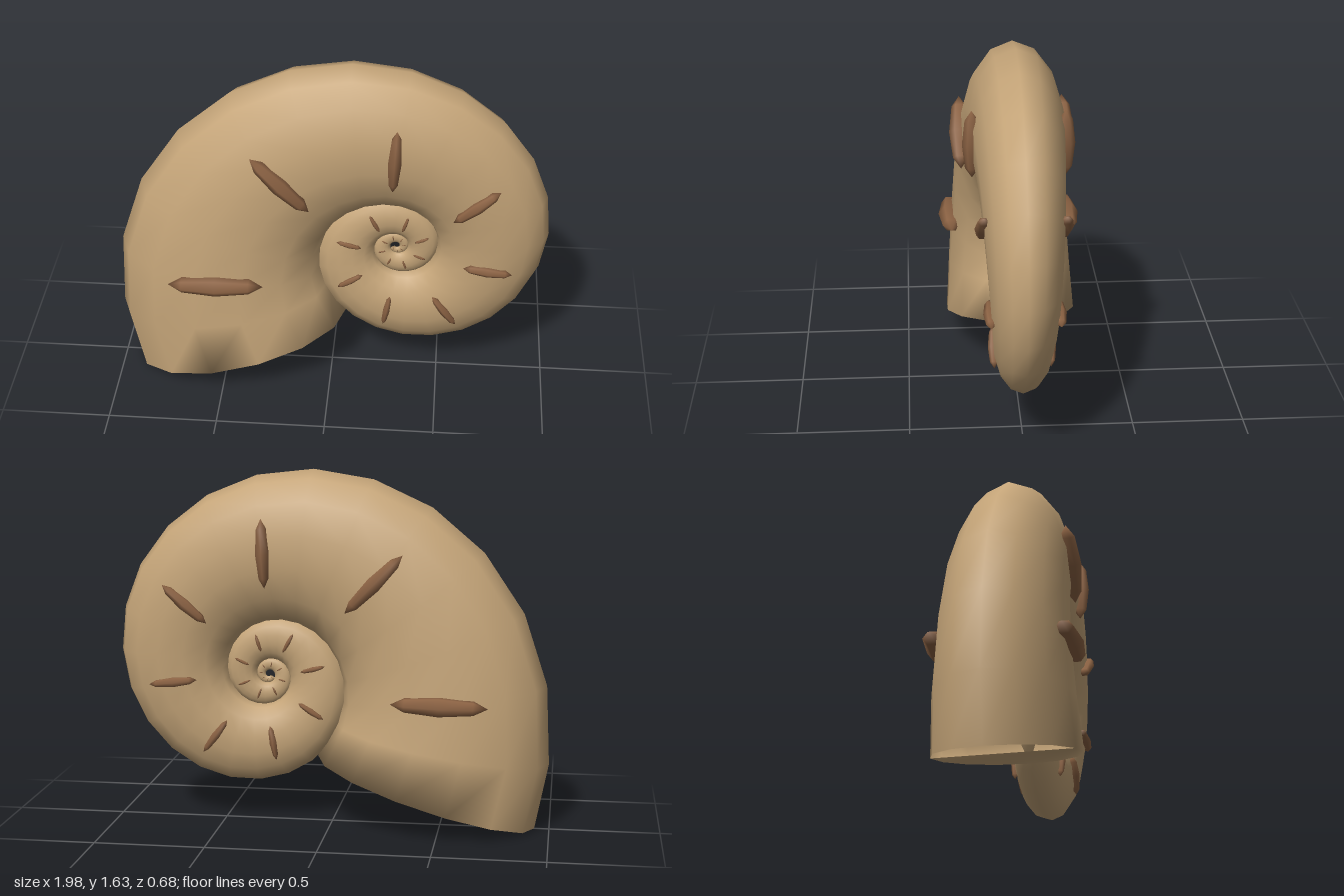
import * as THREE from 'three';

const SEGMENTS = 69;            // rings along three whorls
const SIDES = 14;               // sides of the tube
const STEP = (6 * Math.PI) / SEGMENTS;
const END_ANGLE = THREE.MathUtils.degToRad(216.2);
const END_RADIUS = 0.902, GROWTH = 0.2;
const TUBE = 0.58, FLATNESS = 0.6;
const CENTRE = new THREE.Vector3(0.295, 0.688, 0);

const angleAt = (i) => END_ANGLE - (SEGMENTS - i) * STEP;
const radiusAt = (i) => END_RADIUS * Math.exp(-GROWTH * (SEGMENTS - i) * STEP);
const radialAt = (i, tilt = 0) =>
  new THREE.Vector3(Math.cos(angleAt(i) + tilt), Math.sin(angleAt(i) + tilt), 0);
const spineAt = (i) => radialAt(i).multiplyScalar(radiusAt(i)).add(CENTRE);

// Coiled tube whose flattened oval section grows with the spiral
function shellGeometry() {
  const positions = [], index = [];
  for (let i = 0; i <= SEGMENTS; i++) {
    const p = spineAt(i), a = TUBE * radiusAt(i);
    const t = spineAt(Math.min(i + 1, SEGMENTS)).sub(spineAt(Math.max(i - 1, 0))).normalize();
    for (let j = 0; j < SIDES; j++) {
      const phi = (j / SIDES) * Math.PI * 2;
      const out = a * Math.cos(phi);
      positions.push(p.x + t.y * out, p.y - t.x * out, FLATNESS * a * Math.sin(phi));
    }
  }
  const id = (i, j) => i * SIDES + (j % SIDES);
  for (let i = 0; i < SEGMENTS; i++) {
    for (let j = 0; j < SIDES; j++) {
      index.push(id(i, j), id(i + 1, j), id(i, j + 1));
      index.push(id(i + 1, j), id(i + 1, j + 1), id(i, j + 1));
    }
  }
  // Wall closing the mouth, leaving a gap at the outer lip
  for (let j = 4; j < 11; j++) index.push(id(SEGMENTS, 3), id(SEGMENTS, j + 1), id(SEGMENTS, j));

  const geometry = new THREE.BufferGeometry();
  geometry.setAttribute('position', new THREE.Float32BufferAttribute(positions, 3));
  geometry.setIndex(index);
  geometry.computeVertexNormals();
  return geometry;
}

export function createModel() {
  const model = new THREE.Group();
  model.name = 'spiralShell';

  const shellTan = new THREE.MeshStandardMaterial({ color: 0xc4a478, side: THREE.DoubleSide });
  shellTan.name = 'shellTan';
  const ridgeBrown = new THREE.MeshStandardMaterial({ color: 0x8b6243 });
  ridgeBrown.name = 'ridgeBrown';

  const shell = new THREE.Mesh(shellGeometry(), shellTan);
  shell.name = 'shell';
  model.add(shell);

  // Spindle-shaped ridges on both flanks, every third ring
  const spindle = new THREE.SphereGeometry(1, 6, 4);
  const ridges = new THREE.Group();
  ridges.name = 'ridges';
  for (let i = SEGMENTS - 2; i > 0; i -= 3) {
    const a = TUBE * radiusAt(i);
    for (const side of [1, -1]) {
      const ridge = new THREE.Mesh(spindle, ridgeBrown);
      ridge.name = side > 0 ? 'frontRidge' : 'backRidge';
      const outward = new THREE.Vector3(0, 0, side);
      const along = radialAt(i, -0.065);
      const across = outward.clone().cross(along);
      ridge.quaternion.setFromRotationMatrix(new THREE.Matrix4().makeBasis(outward, along, across));
      ridge.position.copy(spineAt(i)).addScaledVector(outward, FLATNESS * a);
      ridge.scale.set(0.125 * a, 0.46 * a, 0.098 * a);
      ridges.add(ridge);
    }
  }
  model.add(ridges);
  return model;
}
